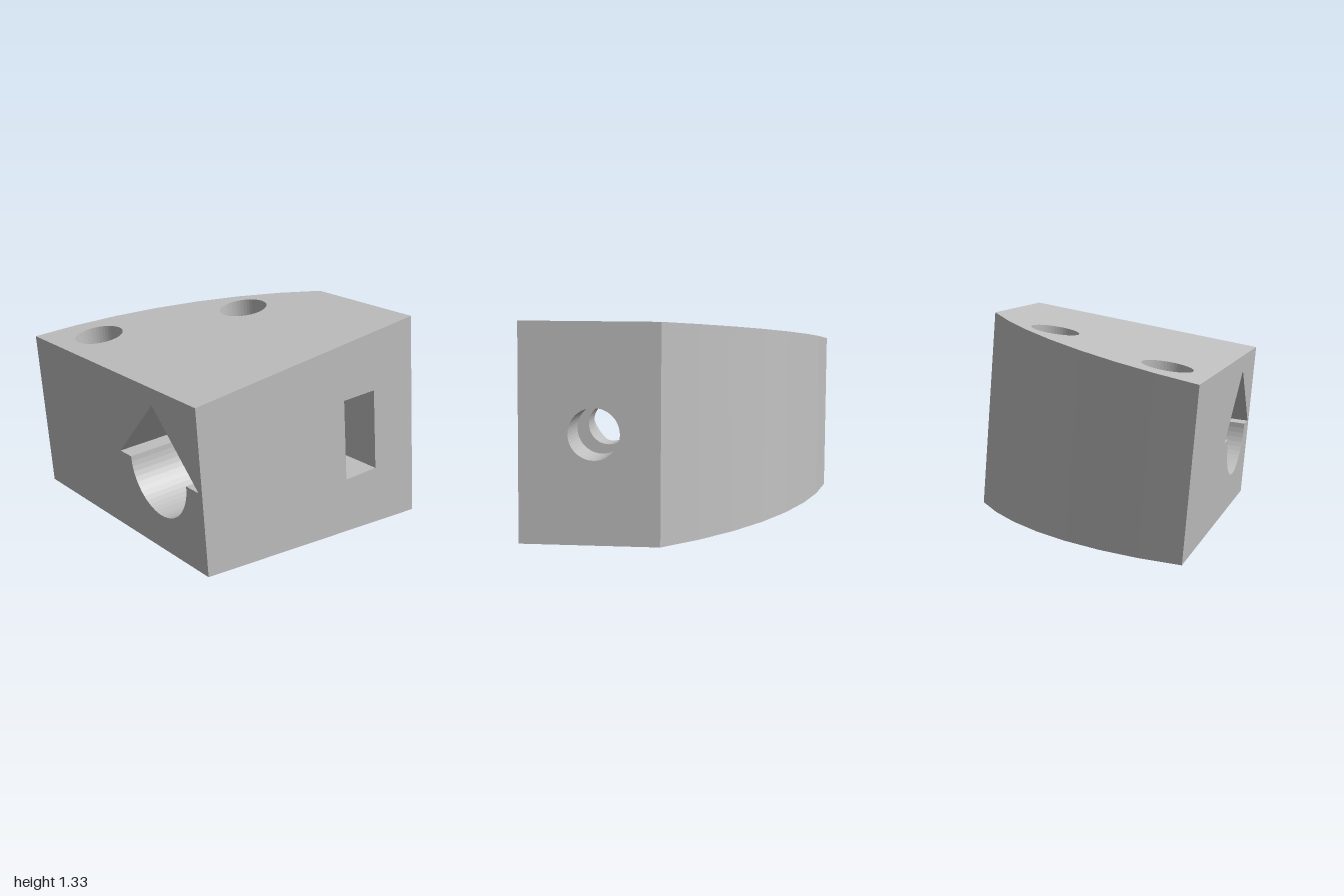
import * as THREE from 'three';

const TILT = THREE.MathUtils.degToRad(4.8), SLOPE = Math.tan(TILT);
const MID = 0.591;                     // height of the bore axis
const X0 = -0.743, FRONT = 0.925, BORE_Z = 0.47;
const SLOT = { x0: 0.34, x1: 0.586, y0: 0.328, y1: 0.854, z: 0.207 };
const BORE_END = 0.14;                 // inner end of the wide bore
const v2 = (a, b) => new THREE.Vector2(a, b);
const v3 = (x, y, z) => new THREE.Vector3(x, y, z);

// The wedge opens evenly above and below the bore axis
const bottomY = x => -SLOPE * x;
const topY = x => 2 * MID + SLOPE * x;

function arc(cx, cy, r, from, to, steps) {
  const pts = [];
  for (let i = 0; i <= steps; i++) {
    const a = from + (to - from) * i / steps;
    pts.push(v2(cx + r * Math.cos(a), cy + r * Math.sin(a)));
  }
  return pts;
}
const circle = (cx, cy, r) => arc(cx, cy, r, 0, Math.PI * 2, 48).slice(0, -1);
const rect = (a0, b0, a1, b1) => [v2(a0, b0), v2(a1, b0), v2(a1, b1), v2(a0, b1)];

// Flat-shaded geometry from triangles, turned so the first one faces the given direction
function facing(tris, direction) {
  const [a, b, c] = tris[0];
  const normal = b.clone().sub(a).cross(c.clone().sub(a));
  const flip = normal.dot(direction) < 0;
  const pts = tris.flatMap(t => flip ? [t[0], t[2], t[1]] : t);
  const geo = new THREE.BufferGeometry().setFromPoints(pts);
  geo.computeVertexNormals();
  return geo;
}

// Flat panel with holes, placed in space by map(a, b)
function panel(outline, holes, map, direction) {
  const pts = [outline, ...holes].flat().map(p => map(p.x, p.y));
  const faces = THREE.ShapeUtils.triangulateShape(outline, holes);
  return facing(faces.map(f => f.map(i => pts[i])), direction);
}

// Inner wall of a hole, between the two ends map(a, b, 0) and map(a, b, 1)
function holeWall(loop, map) {
  const tris = [];
  loop.forEach((p, i) => {
    const q = loop[(i + 1) % loop.length];
    const [a, b, c, d] = [map(p.x, p.y, 0), map(q.x, q.y, 0), map(q.x, q.y, 1), map(p.x, p.y, 1)];
    tris.push([a, b, c], [a, c, d]);
  });
  const mid = loop.reduce((s, p) => s.add(p), v2(0, 0)).divideScalar(loop.length);
  return facing(tris, map(mid.x, mid.y, 0).sub(tris[0][0]));
}

export function createModel() {
  const model = new THREE.Group();
  model.name = 'wedgeBlock';
  const grey = new THREE.MeshStandardMaterial({ color: 0xc0c0c0 });
  grey.name = 'grey';
  grey.flatShading = true;
  const add = (name, geo) => {
    const mesh = new THREE.Mesh(geo, grey);
    mesh.name = name;
    model.add(mesh);
  };

  // Plan outline: square front corners and a faceted curved back
  const deg = THREE.MathUtils.degToRad;
  const curve = arc(-1.16, 1.612, 2.58, deg(-80.7), deg(-36.7), 7);
  const backCorner = curve[0], sideCorner = curve[7], X1 = sideCorner.x;
  const plan = [v2(X0, FRONT), ...curve, v2(X1, FRONT)];

  // Top and bottom with the two upright holes
  const uprights = [circle(-0.465, -0.566, 0.157), circle(0.403, -0.13, 0.157)];
  add('topFace', panel(plan, uprights, (x, z) => v3(x, topY(x), z), v3(0, 1, 0)));
  add('bottomFace', panel(plan, uprights, (x, z) => v3(x, bottomY(x), z), v3(0, -1, 0)));
  uprights.forEach(loop => add('uprightHole',
    holeWall(loop, (x, z, t) => v3(x, t ? topY(x) : bottomY(x), z))));

  // Curved back wall
  for (let i = 0; i < 7; i++) {
    const p = curve[i], q = curve[i + 1];
    add('curvedBack', panel(rect(0, 0, 1, 1), [], (a, t) => {
      const x = THREE.MathUtils.lerp(p.x, q.x, a), z = THREE.MathUtils.lerp(p.y, q.y, a);
      return v3(x, THREE.MathUtils.lerp(bottomY(x), topY(x), t), z);
    }, v3(q.y - p.y, 0, p.x - q.x)));
  }

  // Front wall with the slot opening
  const frontOutline = [v2(X0, bottomY(X0)), v2(X1, bottomY(X1)), v2(X1, topY(X1)), v2(X0, topY(X0))];
  add('frontWall', panel(frontOutline, [rect(SLOT.x0, SLOT.y0, SLOT.x1, SLOT.y1)],
    (x, y) => v3(x, y, FRONT), v3(0, 0, 1)));

  // Bore sections: screw hole, narrow neck, and wide bore with a pointed roof
  const screw = circle(BORE_Z, MID, 0.157);
  const neck = circle(BORE_Z, MID, 0.13);
  const roofed = [
    ...arc(BORE_Z, MID, 0.297, Math.PI, Math.PI * 2, 28),
    v2(BORE_Z + 0.42, MID), v2(BORE_Z, MID + 0.42), v2(BORE_Z - 0.42, MID),
  ];
  const across = (from, to) => (z, y, t) => v3(t ? to : from, y, z);
  add('screwHole', holeWall(screw, across(SLOT.x1, X1)));
  add('neckHole', holeWall(neck, across(BORE_END, SLOT.x0)));
  add('wideBore', holeWall(roofed, across(X0, BORE_END)));

  // Walls across the bore axis
  const wallAt = (name, x, outline, hole, side) =>
    add(name, panel(outline, [hole], (z, y) => v3(x, y, z), v3(side, 0, 0)));
  wallAt('leftWall', X1, rect(sideCorner.y, bottomY(X1), FRONT, topY(X1)), screw, 1);
  wallAt('rightWall', X0, rect(backCorner.y, bottomY(X0), FRONT, topY(X0)), roofed, -1);
  wallAt('wideBoreEnd', BORE_END, roofed, neck, -1);
  const slotSide = rect(SLOT.z, SLOT.y0, FRONT, SLOT.y1);
  wallAt('slotInnerSide', SLOT.x0, slotSide, neck, 1);
  wallAt('slotOuterSide', SLOT.x1, slotSide, screw, -1);

  // Slot back, floor and ceiling
  add('slotBack', panel(rect(SLOT.x0, SLOT.y0, SLOT.x1, SLOT.y1), [],
    (x, y) => v3(x, y, SLOT.z), v3(0, 0, 1)));
  [[SLOT.y0, 1, 'slotFloor'], [SLOT.y1, -1, 'slotCeiling']].forEach(([y, up, name]) =>
    add(name, panel(rect(SLOT.x0, SLOT.z, SLOT.x1, FRONT), [],
      (x, z) => v3(x, y, z), v3(0, up, 0))));

  // Lean the block so its bottom lies flat, then turn it
  model.rotation.set(0, -TILT, TILT);
  const root = new THREE.Group();
  root.name = 'block';
  root.add(model);
  return root;
}
